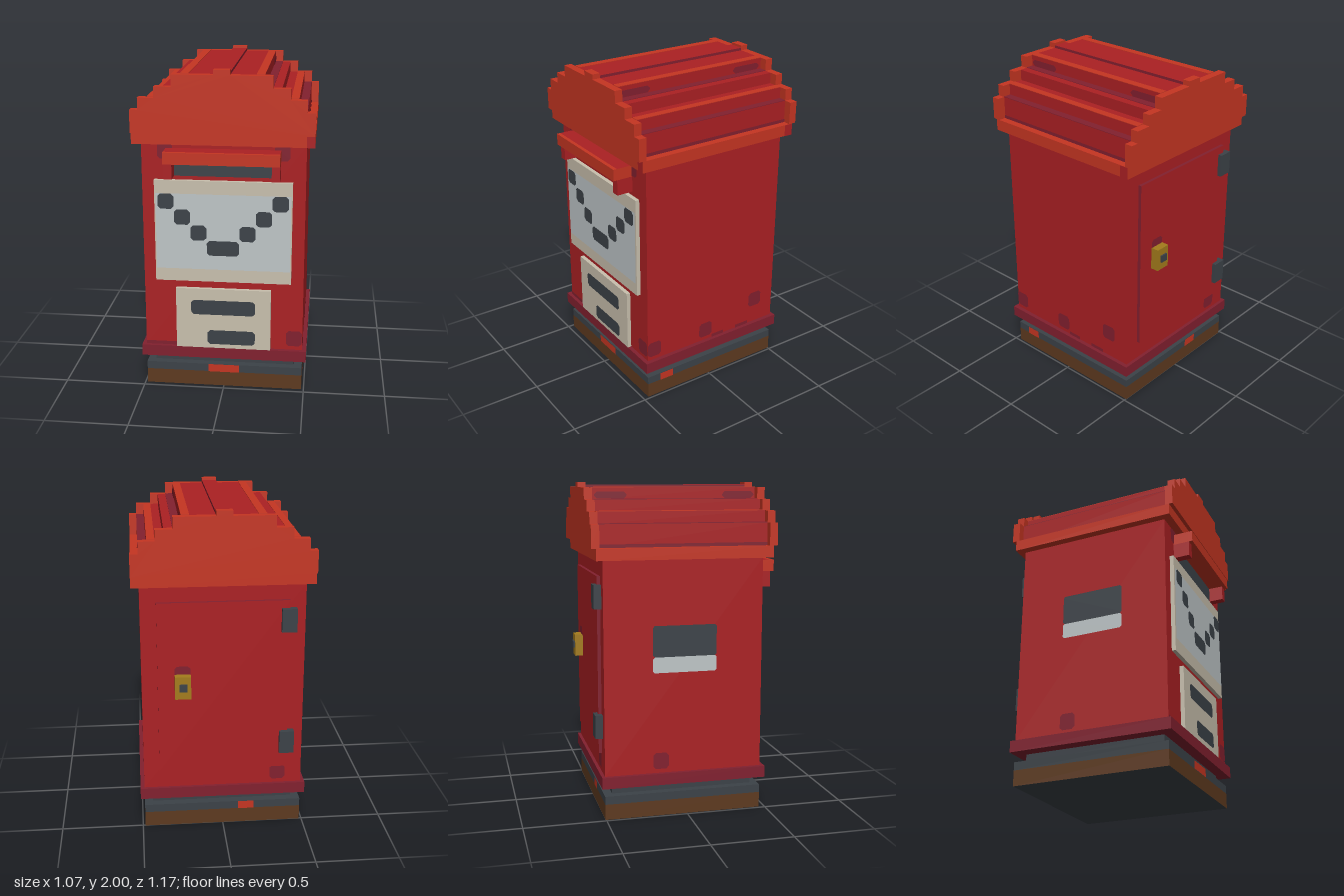
import * as THREE from 'three';

const mat = (name, color) => {
  const m = new THREE.MeshStandardMaterial({ color });
  m.name = name;
  return m;
};

export function createModel() {
  const red = mat('red paint', 0xab2023);
  const orange = mat('bright red trim', 0xc63522);
  const maroon = mat('dark red paint', 0x82202f);
  const slate = mat('slate metal', 0x3c4248);
  const brown = mat('brown base', 0x5e3a1f);
  const beige = mat('beige panel', 0xc9c0ae);
  const grey = mat('pale grey', 0xbfc6c8);
  const gold = mat('brass', 0xa47c1c);

  const model = new THREE.Group();
  model.name = 'postBox';

  // Box given by its limits on each axis; materials may be one or six
  const box = (name, m, x0, x1, y0, y1, z0, z1) => {
    const mesh = new THREE.Mesh(new THREE.BoxGeometry(x1 - x0, y1 - y0, z1 - z0), m);
    mesh.position.set((x0 + x1) / 2, (y0 + y1) / 2, (z0 + z1) / 2);
    mesh.name = name;
    model.add(mesh);
    return mesh;
  };

  // Thin painted patch with clipped corners on a face: u is x or z, v is y
  const TURN = { front: 0, back: Math.PI, left: Math.PI / 2, right: -Math.PI / 2 };
  const patch = (name, m, face, at, u0, u1, v0, v1, cut = 0.016) => {
    const w = Math.abs(u1 - u0) / 2, h = (v1 - v0) / 2, c = cut;
    const pts = [[-w + c, -h], [w - c, -h], [w, -h + c], [w, h - c],
      [w - c, h], [-w + c, h], [-w, h - c], [-w, -h + c]];
    const shape = new THREE.Shape(pts.map(([x, y]) => new THREE.Vector2(x, y)));
    const mesh = new THREE.Mesh(new THREE.ShapeGeometry(shape), m);
    const u = (u0 + u1) / 2, v = (v0 + v1) / 2;
    const out = at + Math.sign(at) * 0.003;
    if (face === 'front' || face === 'back') mesh.position.set(u, v, out);
    else mesh.position.set(out, v, u);
    mesh.rotation.y = TURN[face];
    mesh.name = name;
    model.add(mesh);
  };

  // Base and plinth
  box('base', [brown, brown, brown, slate, brown, brown], -0.485, 0.485, 0, 0.095, -0.505, 0.465);
  box('baseBand', slate, -0.485, 0.485, 0.095, 0.145, -0.505, 0.465);
  box('baseNeck', slate, -0.435, 0.435, 0.145, 0.2, -0.455, 0.42);
  box('plinth', maroon, -0.51, 0.51, 0.2, 0.27, -0.525, 0.49);
  patch('bandChipFront', orange, 'front', 0.465, -0.097, 0.097, 0.095, 0.145, 0);
  patch('bandChipLeft', orange, 'left', 0.485, 0.28, 0.375, 0.095, 0.145, 0);
  patch('bandChipBack', orange, 'back', -0.505, -0.195, -0.097, 0.095, 0.145, 0);

  // Body with worn paint patches
  box('body', red, -0.485, 0.485, 0.27, 1.56, -0.505, 0.465);
  const wear = [
    ['front', 0.465, 0.385, 0.482, 0.295, 0.395],
    ['front', 0.465, -0.485, -0.29, 0.27, 0.292, 0],
    ['front', 0.465, -0.39, -0.3, 1.465, 1.56],
    ['front', 0.465, 0.3, 0.39, 1.465, 1.56],
    ['left', 0.485, 0.37, 0.465, 0.295, 0.395],
    ['left', 0.485, -0.017, 0.08, 0.295, 0.395],
    ['left', 0.485, -0.41, -0.312, 0.39, 0.49],
    ['left', 0.485, -0.11, -0.02, 0.27, 0.292, 0],
    ['left', 0.485, -0.31, -0.21, 0.27, 0.292, 0],
    ['right', -0.485, -0.21, -0.115, 0.295, 0.395],
    ['back', -0.505, -0.385, -0.29, 0.295, 0.388],
  ];
  wear.forEach((w) => patch('wornPaint', maroon, ...w));

  // Letter slot under its hood
  box('slot', slate, -0.29, 0.29, 1.365, 1.46, 0.46, 0.475);
  box('hood', [orange, orange, red, orange, orange, red], -0.338, 0.338, 1.46, 1.53, 0.465, 0.565);
  box('hoodLip', orange, -0.338, 0.338, 1.46, 1.53, 0.565, 0.588);
  for (const s of [-1, 1]) {
    const bracket = box('hoodBracket', red, 0.29, 0.338, 1.365, 1.46, 0.465, 0.565);
    bracket.position.x *= s;
  }

  // Envelope sign
  box('signBoard', beige, -0.41, 0.41, 0.71, 1.34, 0.465, 0.49);
  patch('envelope', grey, 'front', 0.49, -0.402, 0.402, 0.79, 1.26, 0);
  for (const s of [-1, 1]) {
    for (let i = 0; i < 3; i++) {
      const x = s * (0.341 - i * 0.097), y = 1.213 - i * 0.096;
      patch('envelopeFlap', slate, 'front', 0.494, x - 0.048, x + 0.048, y - 0.047, y + 0.047);
    }
  }
  patch('envelopeFlapTip', slate, 'front', 0.494, -0.097, 0.097, 0.88, 0.973);

  // Lower notice panel
  box('noticePanel', beige, -0.29, 0.29, 0.27, 0.66, 0.465, 0.49);
  patch('noticeBar', slate, 'front', 0.49, -0.197, 0.195, 0.493, 0.587);
  patch('noticeBar', slate, 'front', 0.49, -0.097, 0.195, 0.297, 0.39);

  // Two-tone plate on the right side
  patch('sidePlateTop', slate, 'right', -0.485, -0.21, 0.18, 0.98, 1.168, 0.01);
  patch('sidePlateBottom', grey, 'right', -0.485, -0.21, 0.18, 0.885, 0.98, 0.01);

  // Back door, hinges and lock
  box('door', [maroon, maroon, maroon, maroon, red, red], -0.39, 0.39, 0.39, 1.46, -0.525, -0.505);
  patch('wornPaint', maroon, 'back', -0.525, 0.195, 0.29, 1.0, 1.07);
  for (const y of [0.49, 1.27]) box('hinge', slate, -0.43, -0.34, y, y + 0.142, -0.55, -0.505);
  box('lock', gold, 0.195, 0.29, 0.88, 1.02, -0.575, -0.525);
  box('keyhole', slate, 0.217, 0.265, 0.93, 0.975, -0.585, -0.575);

  // Eave
  box('eave', orange, -0.533, 0.533, 1.56, 1.63, -0.55, 0.515);
  patch('eaveWear', red, 'front', 0.515, 0.485, 0.533, 1.56, 1.63, 0);
  patch('eaveWear', red, 'left', 0.533, -0.55, -0.495, 1.56, 1.63, 0);

  // Stepped gable at each end: half width, top height
  const steps = [[0.533, 1.765], [0.485, 1.835], [0.39, 1.9], [0.29, 1.97], [0.047, 2]];
  const outline = [];
  let low = 1.63;
  for (const [w, top] of steps) {
    outline.push([w, low], [w, top]);
    low = top;
  }
  const full = [...outline, ...outline.map(([x, y]) => [-x, y]).reverse()];
  const gableShape = new THREE.Shape(full.map(([x, y]) => new THREE.Vector2(x, y)));
  for (const [name, z] of [['frontGable', 0.49], ['backGable', -0.577]]) {
    const geo = new THREE.ExtrudeGeometry(gableShape, { depth: 0.048, bevelEnabled: false });
    const gable = new THREE.Mesh(geo, orange);
    gable.name = name;
    gable.position.z = z;
    model.add(gable);
  }

  // Roof tiers between the gables, with light edges and dark inner corners
  const Z0 = -0.53, Z1 = 0.49;
  const tiers = [[0.485, 1.63, 1.765], [0.436, 1.765, 1.835], [0.34, 1.835, 1.9], [0.242, 1.9, 1.97]];
  tiers.forEach(([w, y0, y1]) => box('roofTier', red, -w, w, y0, y1, Z0, Z1));
  box('roofRidge', [maroon, maroon, red, red, red, red], -0.047, 0.047, 1.97, 1.986, Z0, Z1);
  const strips = [[0.436, 0.485, 1.765, maroon], [0.39, 0.436, 1.835, orange],
    [0.242, 0.29, 1.9, maroon], [0.194, 0.242, 1.97, orange]];
  for (const s of [-1, 1]) {
    for (const [x0, x1, y, m] of strips) {
      const strip = box('roofStripe', m, x0, x1, y, y + 0.003, Z0, Z1);
      strip.position.x *= s;
    }
    const face = s > 0 ? 'left' : 'right';
    patch('roofFootStripe', maroon, face, s * 0.485, Z0, Z1, 1.63, 1.65, 0);
    patch('roofWear', maroon, face, s * 0.242, 0.28, 0.48, 1.905, 1.945);
    patch('roofWear', maroon, face, s * 0.242, -0.51, -0.315, 1.905, 1.945);
  }
  return model;
}
